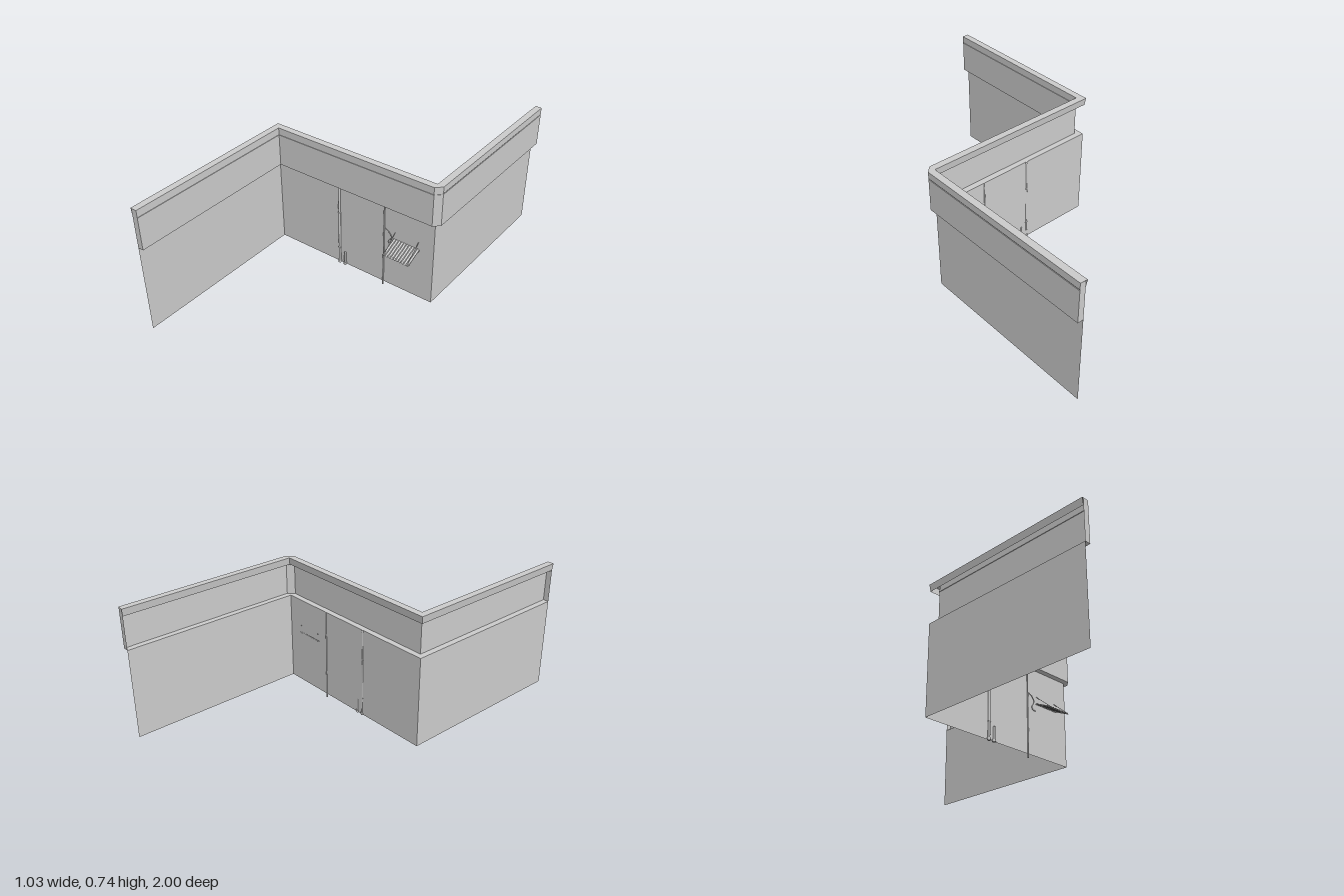
import * as THREE from 'three';

const mat = new THREE.MeshStandardMaterial({ color: 0xcccccc, side: THREE.DoubleSide });
const flat = new THREE.MeshStandardMaterial({ color: 0xcccccc, side: THREE.DoubleSide, flatShading: true });

// Plan of the Z-shaped wall as [x, z], running from the front end to the back end
const X0 = -0.513, X1 = 0.483, ZW = 0.005, ZF = 1, ZB = -0.995;
const BAND_Y = 0.52, TOP_Y = 0.742, DEPTH = 0.032;

// Surface through equal-length rows of [x, y, z] points
function strip(rows) {
  const pos = [];
  for (let i = 0; i < rows.length - 1; i++) {
    for (let j = 0; j < rows[i].length - 1; j++) {
      const a = rows[i][j], b = rows[i + 1][j], c = rows[i + 1][j + 1], d = rows[i][j + 1];
      pos.push(...a, ...b, ...c, ...a, ...c, ...d);
    }
  }
  const g = new THREE.BufferGeometry();
  g.setAttribute('position', new THREE.Float32BufferAttribute(pos, 3));
  g.computeVertexNormals();
  return g;
}

function add(parent, name, geometry, x = 0, y = 0, z = 0, material = mat) {
  const m = new THREE.Mesh(geometry, material);
  m.name = name;
  m.position.set(x, y, z);
  parent.add(m);
  return m;
}

function tube(points, r, segments = 1, sides = 8) {
  const v = points.map(p => new THREE.Vector3(...p));
  const curve = v.length === 2 ? new THREE.LineCurve3(v[0], v[1]) : new THREE.CatmullRomCurve3(v);
  return new THREE.TubeGeometry(curve, segments, r, sides);
}

export function createModel() {
  const model = new THREE.Group();
  model.name = 'storefrontWall';

  // Lower walls: three thin sheets
  const plan = [[X0, ZF], [X0, ZW], [X1, ZW], [X1, ZB]];
  ['leftWall', 'middleWall', 'rightWall'].forEach((name, i) => {
    const rows = [plan[i], plan[i + 1]].map(([x, z]) => [[x, BAND_Y, z], [x, 0.022, z]]);
    add(model, name, strip(rows.reverse()));
  });

  // Parapet band: a profile swept along the plan, open at the back,
  // mitred at the inner corner and chamfered at the outer one
  const parapet = new THREE.Group();
  parapet.name = 'parapet';
  model.add(parapet);
  const profile = [
    [0, BAND_Y], [DEPTH, BAND_Y], [DEPTH, 0.7], [DEPTH - 0.003, 0.7], [DEPTH - 0.003, 0.705],
    [DEPTH, 0.705], [DEPTH, TOP_Y], [-0.005, TOP_Y], [0, 0.702],
  ];
  const stations = [
    { p: plan[0], out: [1, 0], back: [1, 0] },
    { p: plan[1], out: [1, 1], back: [1, 1] },
    { p: plan[2], out: [0, 1], back: [1, 1] },
    { p: plan[2], out: [1, 0], back: [1, 1] },
    { p: plan[3], out: [1, 0], back: [1, 1] },
  ];
  const rows = stations.map(({ p, out, back }) => profile.map(([d, y]) => {
    const m = d < 0 ? back : out;
    return [p[0] + d * m[0], y, p[1] + d * m[1]];
  }));
  add(parapet, 'parapetBand', strip(rows));
  for (const [name, z] of [['parapetFrontEnd', ZF], ['parapetBackEnd', ZB]]) {
    const x = z > 0 ? X0 : X1;
    const cap = strip([
      [[x, BAND_Y, z], [x, TOP_Y, z]],
      [[x + DEPTH, BAND_Y, z], [x + DEPTH, TOP_Y, z]],
    ]);
    add(parapet, name, cap);
  }

  // Tall drain pipe with collars and wall brackets
  const drain = new THREE.Group();
  drain.name = 'drainPipe';
  model.add(drain);
  const pipeZ = 0.009, drainX = -0.105, stubX = -0.069;
  add(drain, 'pipe', new THREE.CylinderGeometry(0.0065, 0.0065, 0.495, 12), drainX, 0.27, pipeZ);
  add(drain, 'topCollar', new THREE.CylinderGeometry(0.0095, 0.0095, 0.01, 12), drainX, 0.515, pipeZ);
  for (const y of [0.12, 0.348]) {
    add(drain, 'bracket', new THREE.BoxGeometry(0.015, 0.004, 0.012), drainX, y, pipeZ);
  }

  // Short vent pipe with a rounded top
  const vent = new THREE.Group();
  vent.name = 'ventPipe';
  model.add(vent);
  add(vent, 'pipe', new THREE.CapsuleGeometry(0.006, 0.074, 4, 12), stubX, 0.061, pipeZ);

  // Stepped foot collars on both pipes
  for (const [parent, x] of [[drain, drainX], [vent, stubX]]) {
    add(parent, 'footCollar', new THREE.CylinderGeometry(0.0105, 0.0105, 0.011, 12), x, 0.027, pipeZ);
    add(parent, 'footRing', new THREE.CylinderGeometry(0.008, 0.008, 0.016, 12), x, 0.026, pipeZ);
  }

  // Thin conduit and the loose cable leaving it
  add(model, 'conduit', new THREE.CylinderGeometry(0.004, 0.004, 0.52, 8), 0.182, 0.26, 0.006);
  const cablePath = [
    [0.184, 0.37], [0.204, 0.364], [0.222, 0.347], [0.23, 0.332], [0.224, 0.315],
    [0.214, 0.3], [0.215, 0.287], [0.226, 0.28], [0.245, 0.279],
  ].map(([x, y]) => [x, y, 0.008]);
  add(model, 'cable', tube(cablePath, 0.002, 40, 6));

  // Small corrugated awning on a frame
  const awning = new THREE.Group();
  awning.name = 'awning';
  model.add(awning);
  const xa = 0.242, xb = 0.402, back = [0.326, 0.002], front = [0.281, 0.106];
  const sheet = [];
  for (let i = 0; i <= 80; i++) {
    const t = i / 80, wave = 0.0025 * Math.sin(t * Math.PI * 2 * 10);
    const x = xa + (xb - xa) * t;
    sheet.push([[x, back[0] + wave, back[1]], [x, front[0] + wave, front[1]]]);
  }
  add(awning, 'corrugatedSheet', strip(sheet), 0, 0, 0, flat);
  const lift = -0.003;
  const railZ = 0.094, railY = 0.286 + lift;
  add(awning, 'frontRail', tube([[xa - 0.001, railY, railZ], [xb + 0.001, railY, railZ]], 0.002));
  add(awning, 'backRail', tube([[xa, 0.322 + lift, 0.01], [xb, 0.322 + lift, 0.01]], 0.0015));
  for (const x of [0.25, 0.392]) {
    add(awning, 'sideRail', tube([[x, back[0] + lift, back[1]], [x, front[0] + lift, front[1]]], 0.002));
    add(awning, 'stayRod', tube([[x, 0.368, 0.001], [x, 0.284, 0.103]], 0.0015));
    add(awning, 'stayKnob', new THREE.SphereGeometry(0.004, 8, 6), x, 0.282, 0.102);
  }

  return model;
}
